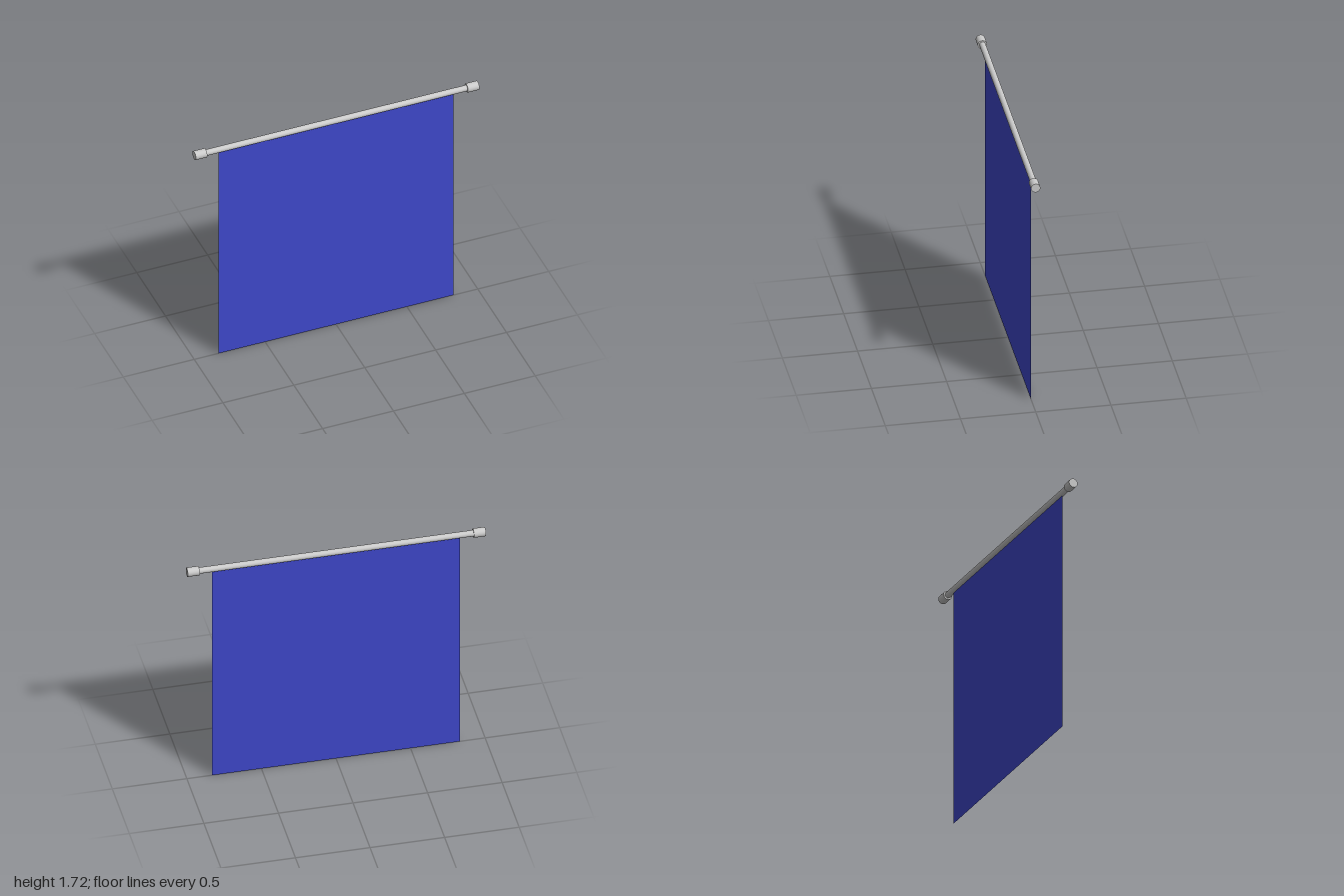
import * as THREE from 'three';

const ROD_Y = 1.685, ROD_RADIUS = 0.021;
const CAP_RADIUS = 0.031, CAP_LENGTH = 0.08;
const CLOTH_WIDTH = 1.66;

export function createModel() {
  const group = new THREE.Group();
  const grey = new THREE.MeshStandardMaterial({ color: 0xcccccc });
  const blue = new THREE.MeshStandardMaterial({ color: 0x3f48cc, side: THREE.DoubleSide });

  // Round bar lying along x
  const addBar = (name, radius, length, x) => {
    const bar = new THREE.Mesh(new THREE.CylinderGeometry(radius, radius, length, 32), grey);
    bar.name = name;
    bar.rotation.z = Math.PI / 2;
    bar.position.set(x, ROD_Y, 0);
    group.add(bar);
  };

  // Rod between the two end caps
  addBar('rod', ROD_RADIUS, 2 - 2 * CAP_LENGTH, 0);
  addBar('leftEndCap', CAP_RADIUS, CAP_LENGTH, 1 - CAP_LENGTH / 2);
  addBar('rightEndCap', CAP_RADIUS, CAP_LENGTH, -1 + CAP_LENGTH / 2);

  // Flat cloth hanging from the underside of the rod
  const clothHeight = ROD_Y - ROD_RADIUS;
  const cloth = new THREE.Mesh(new THREE.PlaneGeometry(CLOTH_WIDTH, clothHeight), blue);
  cloth.name = 'cloth';
  cloth.position.y = clothHeight / 2;
  group.add(cloth);

  return group;
}
